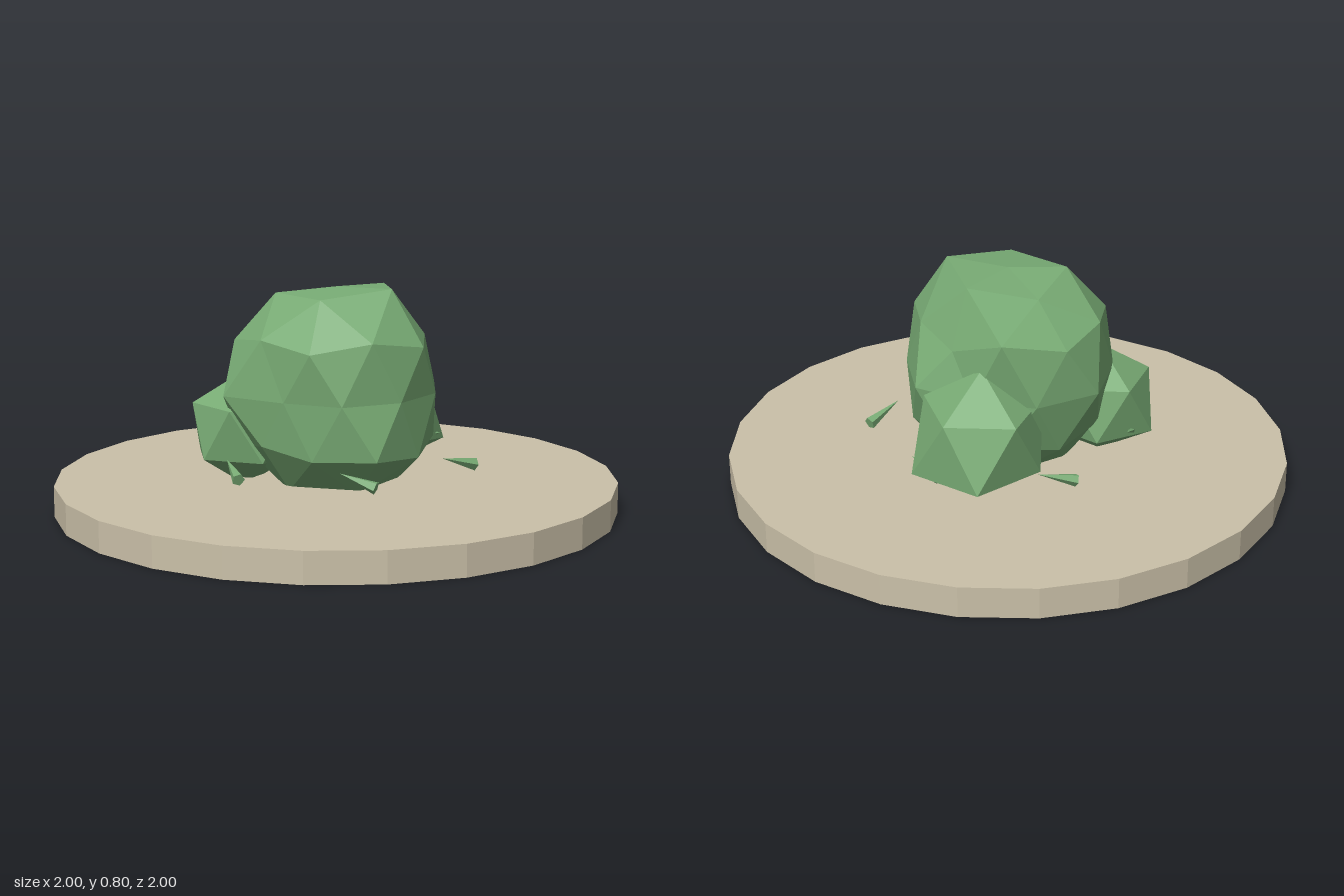
import * as THREE from 'three';
import { ConvexGeometry } from 'three/addons/geometries/ConvexGeometry.js';

// Ring of evenly spaced unit directions, one per scale value.
function ring(y, startDeg, scales) {
  const r = Math.sqrt(1 - y * y);
  return scales.map((s, i) => {
    const a = THREE.MathUtils.degToRad(startDeg + (i * 360) / scales.length);
    return { dir: new THREE.Vector3(r * Math.cos(a), y, r * Math.sin(a)), s };
  });
}

// Icosphere with a pole on top, each vertex pushed in or out by its own scale.
function lumpGeometry(radius, points) {
  const geo = new ConvexGeometry(points.map((p) => p.dir));
  const pos = geo.attributes.position;
  const v = new THREE.Vector3();
  for (let i = 0; i < pos.count; i++) {
    v.fromBufferAttribute(pos, i);
    const near = points.reduce((a, b) => (b.dir.dot(v) > a.dir.dot(v) ? b : a));
    v.copy(near.dir).multiplyScalar(near.s * radius);
    pos.setXYZ(i, v.x, v.y, v.z);
  }
  geo.computeVertexNormals();
  return geo;
}

export function createModel() {
  const group = new THREE.Group();
  const leaf = new THREE.MeshStandardMaterial({ name: 'leafGreen', color: 0x78ab74, flatShading: true });
  const sand = new THREE.MeshStandardMaterial({ name: 'sandBeige', color: 0xcbc1a9, flatShading: true });

  function add(name, geometry, material, x, y, z) {
    const mesh = new THREE.Mesh(geometry, material);
    mesh.name = name;
    mesh.position.set(x, y, z);
    group.add(mesh);
    return mesh;
  }

  // Round base
  add('base', new THREE.CylinderGeometry(1, 1, 0.11, 24), sand, 0, 0.055, 0);

  // Large bush: 42-point icosphere
  add('mainBush', lumpGeometry(0.4, [
    ...ring(1, 0, [0.91]),
    ...ring(0.8507, 0, [1.05, 1.09, 1.01, 1.01, 0.91]),
    ...ring(0.5257, 36, [0.92, 1.0, 0.98, 1.0, 1.1]),
    ...ring(0.4472, 0, [0.84, 1.0, 0.98, 1.0, 1.03]),
    ...ring(0, 18, [0.95, 0.9, 0.88, 0.9, 0.83, 1.05, 0.93, 1.0, 0.95, 0.84]),
    ...ring(-0.4472, 36, [0.97, 1.07, 0.93, 0.95, 0.95]),
    ...ring(-0.5257, 0, [0.95, 1.0, 0.95, 0.97, 0.97]),
    ...ring(-0.8507, 36, [1, 1, 1, 1, 1]),
    ...ring(-1, 0, [0.95]),
  ]), leaf, 0, 0.43, 0);

  // Two small bushes: 12-point icosahedra
  const smallBush = (upper, lower) => [
    ...ring(1, 0, [1]),
    ...ring(0.4472, 0, upper),
    ...ring(-0.4472, 36, lower),
    ...ring(-1, 0, [1]),
  ];
  add('leftSmallBush', lumpGeometry(0.24, smallBush([0.94, 1, 1, 1, 1], [1.16, 1.02, 1, 1, 1.1])),
    leaf, 0.3, 0.31, -0.13);
  add('rightSmallBush', lumpGeometry(0.21, smallBush([1, 1, 1, 1, 1], [1, 1, 0.98, 1.08, 1])),
    leaf, -0.23, 0.28, -0.23);

  // Loose pointed leaves in a circle: wide end x, z then tip x, z
  const leaves = [
    [0.46, -0.07, 0.45, 0.06],
    [0.305, 0.395, 0.16, 0.385],
    [-0.195, 0.45, -0.26, 0.34],
    [-0.48, 0.065, -0.43, -0.07],
    [-0.28, -0.37, -0.16, -0.41],
    [0.17, -0.44, 0.28, -0.36],
  ];
  const up = new THREE.Vector3(0, 1, 0);
  leaves.forEach(([bx, bz, tx, tz], i) => {
    const wide = new THREE.Vector3(bx, 0.18, bz);
    const axis = new THREE.Vector3(tx, 0.22, tz).sub(wide);
    const length = axis.length();
    const mid = wide.clone().addScaledVector(axis, 0.5);
    const cone = add('looseLeaf' + (i + 1), new THREE.ConeGeometry(0.023, length, 5), leaf, mid.x, mid.y, mid.z);
    cone.quaternion.setFromUnitVectors(up, axis.normalize());
  });

  return group;
}
